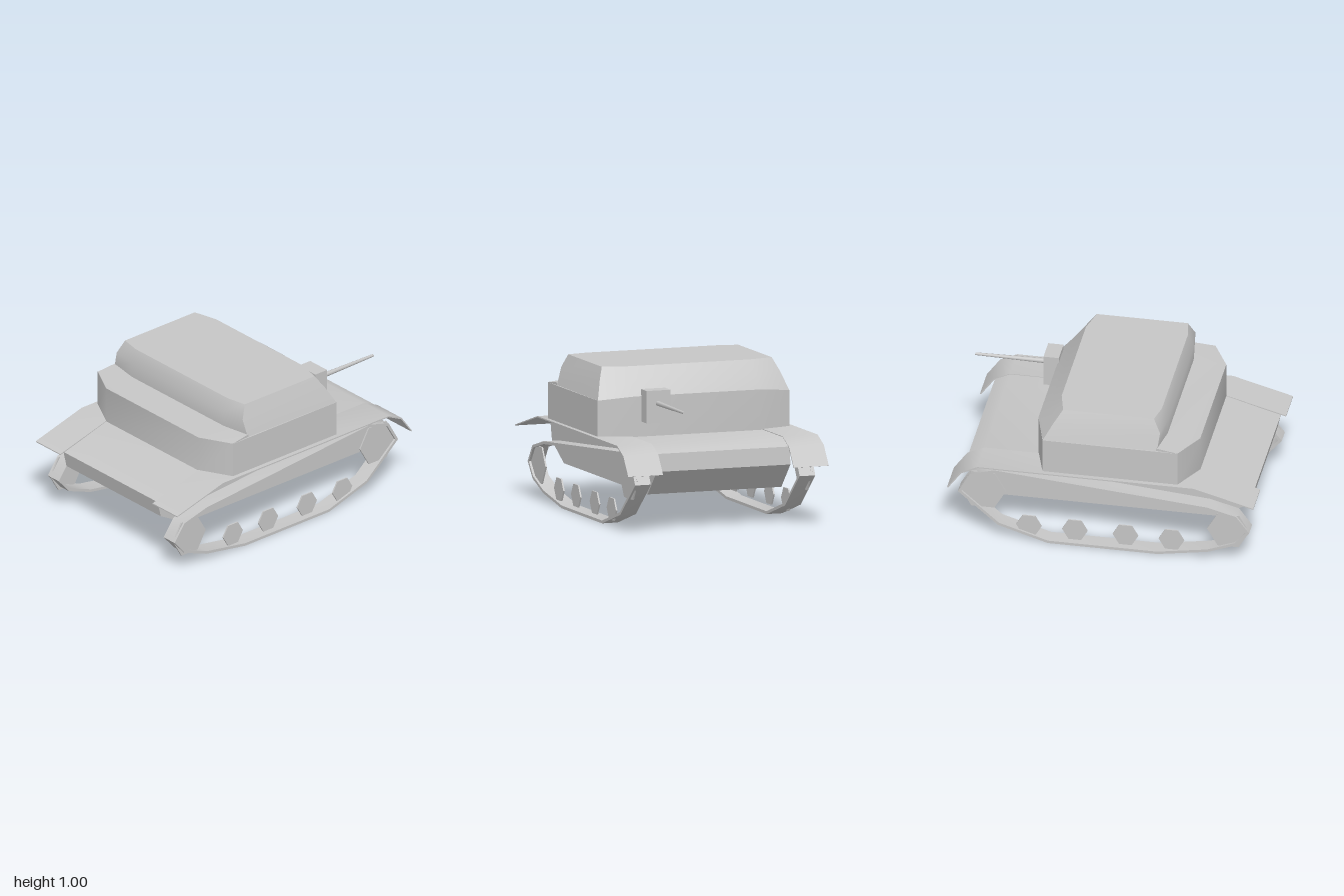
import * as THREE from 'three';
import { toCreasedNormals } from 'three/addons/utils/BufferGeometryUtils.js';

const grey = new THREE.MeshStandardMaterial({ color: 0xc6c6c6, side: THREE.DoubleSide });
grey.name = 'plain grey';
const CREASE = 0.8;

// Closed side profile of [z, y] points, extruded across x from x0 to x1
function slab(points, x0, x1, hole) {
  const shape = new THREE.Shape(points.map(([z, y]) => new THREE.Vector2(z, y)));
  if (hole) shape.holes.push(new THREE.Path(hole.map(([z, y]) => new THREE.Vector2(z, y))));
  const geo = new THREE.ExtrudeGeometry(shape, { depth: x1 - x0, bevelEnabled: false });
  geo.rotateY(-Math.PI / 2).translate(x1, 0, 0);
  return toCreasedNormals(geo, CREASE);
}

// Moves each corner of a closed anticlockwise loop inward by d
function inset(loop, d) {
  const n = loop.length;
  return loop.map((p, i) => {
    const a = new THREE.Vector2(...loop[(i + n - 1) % n]);
    const b = new THREE.Vector2(...p);
    const c = new THREE.Vector2(...loop[(i + 1) % n]);
    const u = b.clone().sub(a).normalize();
    const v = c.clone().sub(b).normalize();
    const inward = new THREE.Vector2(-u.y - v.y, u.x + v.x).normalize();
    const k = d / (inward.y * u.x - inward.x * u.y);
    return [b.x + inward.x * k, b.y + inward.y * k];
  });
}

// Lofts rings, each given as [x, y, z] points on the +x half from rear to front
function loft(halves) {
  const rings = halves.map((h) => [...h, ...[...h].reverse().map(([x, y, z]) => [-x, y, z])]);
  const n = rings[0].length;
  const index = [];
  for (let r = 0; r < rings.length - 1; r++) {
    for (let i = 0; i < n; i++) {
      const a = r * n + i;
      const b = r * n + ((i + 1) % n);
      index.push(a, b, b + n, a, b + n, a + n);
    }
  }
  const top = (rings.length - 1) * n;
  for (let i = 1; i < n - 1; i++) {
    index.push(top, top + i, top + i + 1, 0, i + 1, i);
  }
  const geo = new THREE.BufferGeometry();
  geo.setAttribute('position', new THREE.Float32BufferAttribute(rings.flat(2), 3));
  geo.setIndex(index);
  return toCreasedNormals(geo, CREASE);
}

function hexagon(z, y, r) {
  return Array.from({ length: 6 }, (_, i) => {
    const a = (i * Math.PI) / 3;
    return [z + r * Math.cos(a), y + r * Math.sin(a)];
  });
}

export function createModel() {
  const model = new THREE.Group();
  model.name = 'lightTank';
  const add = (name, geo) => {
    const mesh = new THREE.Mesh(geo, grey);
    mesh.name = name;
    model.add(mesh);
    return mesh;
  };

  // Hull between the tracks
  add('hull', slab([
    [0.965, 0.46], [0.61, 0.563], [-0.8, 0.563], [-0.9, 0.515], [-0.91, 0.4],
    [-0.75, 0.233], [0.73, 0.233], [0.94, 0.35],
  ], -0.46, 0.46));

  // Lower casemate
  add('casemate', loft([
    [[0.45, 0.555, 0.61], [0.66, 0.555, 0.5], [0.66, 0.555, -0.38], [0.43, 0.555, -0.45]],
    [[0.45, 0.8, 0.61], [0.66, 0.8, 0.5], [0.66, 0.8, -0.38], [0.43, 0.825, -0.45]],
  ]));

  // Sloping upper casemate with its roof
  add('upperCasemate', loft([
    [[0.45, 0.8, 0.397], [0.65, 0.8, 0.365], [0.658, 0.8, -0.38], [0.43, 0.825, -0.45]],
    [[0.45, 0.915, 0.397], [0.615, 0.915, 0.378], [0.621, 0.915, -0.315], [0.425, 0.915, -0.373]],
    [[0.45, 1, 0.36], [0.585, 1, 0.333], [0.585, 1, -0.26], [0.42, 1, -0.3]],
  ]));

  // Sloped ledge behind the upper casemate
  add('rearLedge', loft([
    [[0.45, 0.799, 0.61], [0.66, 0.799, 0.5], [0.65, 0.799, 0.36], [0.45, 0.799, 0.38]],
    [[0.45, 0.802, 0.61], [0.66, 0.802, 0.5], [0.65, 0.818, 0.36], [0.45, 0.815, 0.38]],
  ]));

  // Gun mount and tapered barrel
  add('gunMount', new THREE.BoxGeometry(0.165, 0.21, 0.1)).position.set(0.303, 0.765, -0.49);
  const barrel = new THREE.CylinderGeometry(0.009, 0.017, 0.47, 8);
  barrel.rotateX(-Math.PI / 2);
  add('gunBarrel', barrel).position.set(0.306, 0.786, -0.765);

  // Running gear on both sides
  const track = [
    [0.96, 0.225], [0.875, 0.34], [0.685, 0.39], [-0.705, 0.51], [-0.86, 0.465], [-0.94, 0.325],
    [-0.68, 0.1], [-0.355, 0], [0.36, 0], [0.69, 0.055], [0.875, 0.125],
  ];
  const fender = [
    [1, 0.46], [0.61, 0.567], [-0.8, 0.567], [-0.91, 0.515], [-0.998, 0.392],
    [-0.99, 0.39], [-0.905, 0.507], [-0.798, 0.559], [0.61, 0.559], [1, 0.453],
  ];
  const wheels = [
    ['idlerWheel', 0.82, 0.222, 0.137], ['driveWheel', -0.78, 0.348, 0.15],
    ...[0.45, 0.15, -0.18, -0.48].map((z) => ['roadWheel', z, 0.11, 0.083]),
  ];
  for (const [side, s] of [['left', 1], ['right', -1]]) {
    const across = (points, a, b, hole) => slab(points, Math.min(s * a, s * b), Math.max(s * a, s * b), hole);
    add(side + 'Track', across(track, 0.512, 0.62, inset(track, 0.018)));
    add(side + 'Fender', across(fender, 0.45, 0.69));
    for (const [name, z, y, r] of wheels) {
      add(side + name[0].toUpperCase() + name.slice(1), across(hexagon(z, y, r), 0.595, 0.605));
    }
  }
  return model;
}
